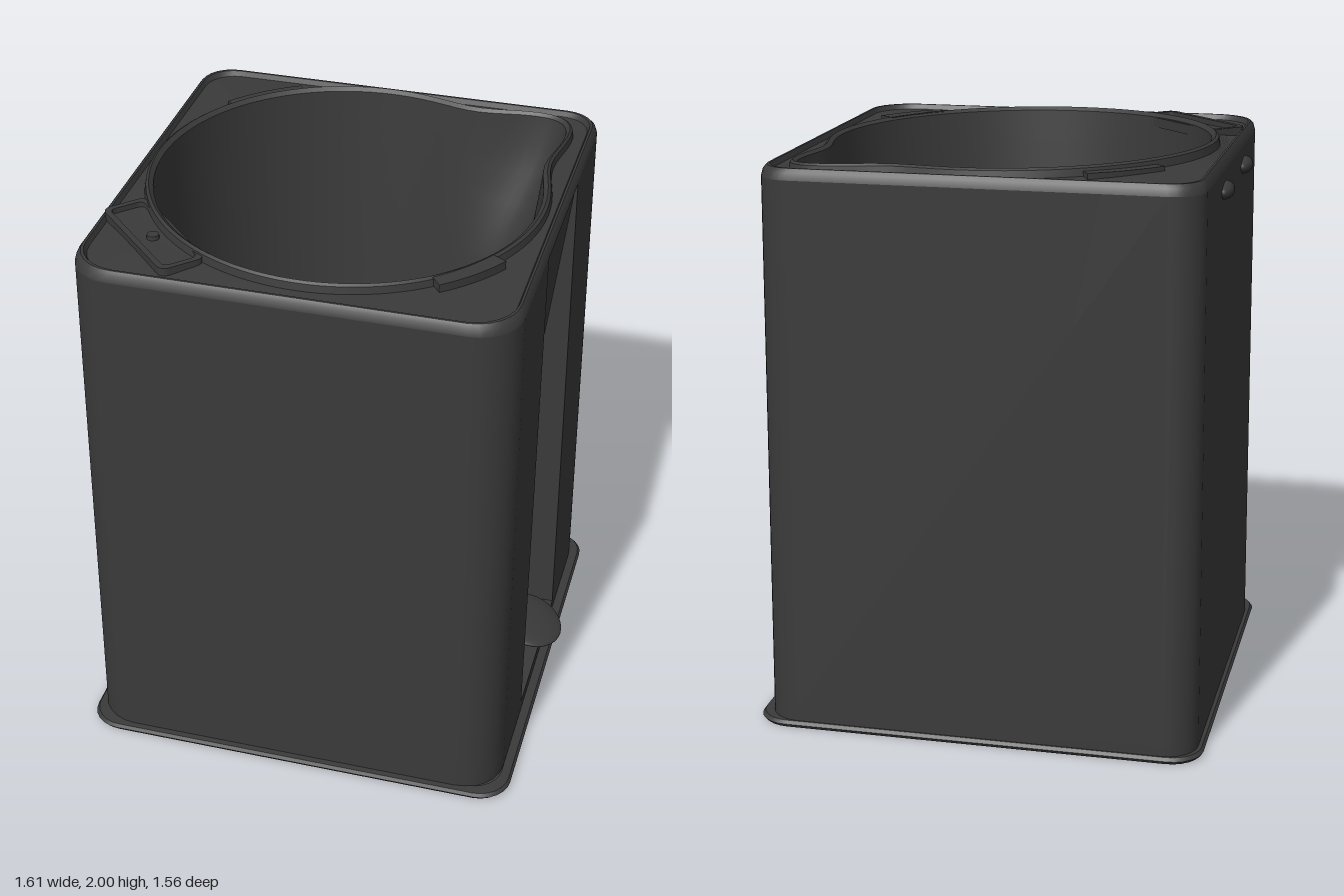
import * as THREE from 'three';
import { toCreasedNormals } from 'three/addons/utils/BufferGeometryUtils.js';

const material = new THREE.MeshStandardMaterial({ color: 0x3a3a3a, side: THREE.DoubleSide });
const CX = -0.03, CZ = -0.02; // centre of the tub mouth
const { lerp, smoothstep } = THREE.MathUtils;

// Rounded rectangle as [x, z] points; front corners use rFront, each side is split into n pieces
function outline(cx, hx, hz, r, rFront = r, n = 1) {
  const corners = [[1, 1, rFront], [-1, 1, rFront], [-1, -1, r], [1, -1, r]];
  const arcPoint = ([sx, sz, cr], a) =>
    [cx + sx * (hx - cr) + cr * Math.cos(a), sz * (hz - cr) + cr * Math.sin(a)];
  const pts = [];
  corners.forEach((corner, k) => {
    for (let i = 0; i <= 6; i++) pts.push(arcPoint(corner, (k + i / 6) * Math.PI / 2));
    const from = pts[pts.length - 1];
    const to = arcPoint(corners[(k + 1) % 4], (k + 1) * Math.PI / 2);
    for (let i = 1; i < n; i++) pts.push([lerp(from[0], to[0], i / n), lerp(from[1], to[1], i / n)]);
  });
  return pts;
}

const ring = (pts, y, dz = 0) => pts.map(([x, z]) => [x, y, z + dz]);

// Skin a stack of closed rings with equal point counts
function loft(rings) {
  const n = rings[0].length, index = [];
  for (let i = 0; i < rings.length - 1; i++) {
    for (let j = 0; j < n; j++) {
      const a = i * n + j, b = i * n + (j + 1) % n;
      index.push(a, a + n, b, b, a + n, b + n);
    }
  }
  const g = new THREE.BufferGeometry();
  g.setAttribute('position', new THREE.Float32BufferAttribute(rings.flat(2), 3));
  g.setIndex(index);
  return toCreasedNormals(g, 0.6);
}

export function createModel() {
  const model = new THREE.Group();
  const add = (name, geometry, x = 0, y = 0, z = 0, parent = model) => {
    const m = new THREE.Mesh(geometry, material);
    m.name = name;
    m.position.set(x, y, z);
    parent.add(m);
    return m;
  };

  // Outer walls, with a wedge-shaped pedal recess on the +x side
  const wall = (y, depth) => {
    const t = y / 1.93;
    const cx = lerp(-0.035, -0.03, t), hx = lerp(0.755, 0.742, t);
    const hz = lerp(0.762, 0.75, t), x = cx + hx;
    const zl = lerp(0.31, 0.23, t), zr = lerp(-0.29, -0.28, t);
    const pts = outline(cx, hx, hz, 0.11, 0.15);
    pts.push([x, zr], [x - depth, zr], [x - depth, zl], [x, zl]);
    return ring(pts, y, lerp(-0.008, -0.002, t));
  };
  add('outerWalls', loft([wall(0.02, 0), wall(0.06, 0), wall(0.06, 0.25), wall(1.93, 0.006), wall(1.93, 0)]));

  // Deck, raised rim, tapering tub with a pouring corner, and tub floor
  const edge = outline(-0.03, 0.742, 0.75, 0.11, 0.15, 24);
  const deck = (inset, y) => ring(edge.map(([x, z]) =>
    [-0.03 + (x + 0.03) * (1 - inset / 0.742), z * (1 - inset / 0.75)]), y, -0.002);
  const tub = (r, y, spout = 0, cx = CX, tilt = 0) => edge.map(([x, z]) => {
    const a = Math.atan2(z - CZ, x - CX);
    const rr = r + spout * Math.exp(-(((a + Math.PI / 4) / 0.23) ** 2));
    const px = cx + rr * Math.cos(a);
    return [px, y - tilt * px, CZ + rr * Math.sin(a)];
  });
  const rings = [deck(0, 1.93), deck(0.006, 1.955), deck(0.016, 1.968), deck(0.024, 1.968), deck(0.032, 1.95),
    tub(0.69, 1.955, 0.21, CX, 0.015), tub(0.685, 1.98, 0.21, CX, 0.018),
    tub(0.675, 1.987, 0.21, CX, 0.018), tub(0.66, 1.975, 0.21, CX, 0.015)];
  for (let i = 1; i <= 16; i++) {
    const t = i / 16;
    rings.push(tub(lerp(0.66, 0.53, t), lerp(1.975, 0.18, t),
      0.21 * (1 - smoothstep(t, 0, 0.4)), lerp(CX, -0.08, t)));
  }
  rings.push(tub(0, 0.18, 0, -0.08));
  add('deckAndTub', loft(rings));

  // Base flange with a dished underside, a centre ring and diagonal ribs
  const base = (s, y) => ring(outline(-0.025, 0.785 * s, 0.782 * s, 0.11 * s), y);
  add('baseFlange', loft([base(0.001, 0.06), base(0.3, 0.055), base(0.9, 0.035), base(0.96, 0.008), base(0.99, 0),
    base(1, 0.012), base(0.99, 0.024), base(0.95, 0.026)]));
  const hub = add('undersideRing', new THREE.TorusGeometry(0.2, 0.01, 8, 40), -0.025, 0.056, 0);
  hub.rotation.x = Math.PI / 2;
  for (let i = 0; i < 4; i++) {
    const a = Math.PI / 4 + i * Math.PI / 2;
    const rib = add('undersideRib', new THREE.BoxGeometry(0.7, 0.012, 0.02),
      -0.025 + 0.55 * Math.cos(a), 0.045, 0.55 * Math.sin(a));
    rib.rotation.set(0, -a, -0.027);
  }

  // Foot pedal, its arm and the slot behind it
  const pedal = add('pedal', new THREE.SphereGeometry(1, 32, 16), 0.68, 0.2, 0);
  pedal.scale.set(0.13, 0.022, 0.14);
  pedal.rotation.z = -0.3;
  const arm = add('pedalArm', new THREE.CylinderGeometry(0.018, 0.018, 0.22, 12), 0.57, 0.205, 0);
  arm.rotation.z = Math.PI / 2;
  const slot = add('pedalSlot', new THREE.BoxGeometry(0.014, 0.32, 0.018), 0.494, 0.24, 0);
  slot.rotation.z = -0.126;

  // Low tray with a pin at the front corner of the deck
  const tray = new THREE.Group();
  tray.name = 'cornerTray';
  tray.position.set(-0.55, 1.945, 0.49);
  tray.rotation.y = -Math.PI / 4;
  model.add(tray);
  const toPath = (hx, hz, r) => outline(0, hx, hz, r).map(([x, z]) => new THREE.Vector2(x, z));
  const frame = new THREE.Shape(toPath(0.225, 0.08, 0.03));
  frame.holes.push(new THREE.Path(toPath(0.205, 0.06, 0.02)));
  const frameMesh = add('trayFrame', new THREE.ExtrudeGeometry(frame,
    { depth: 0.035, bevelEnabled: false }), 0, 0, 0, tray);
  frameMesh.rotation.x = -Math.PI / 2;
  add('trayFloor', new THREE.BoxGeometry(0.42, 0.01, 0.13), 0, 0.011, 0, tray);
  add('trayPin', new THREE.CylinderGeometry(0.02, 0.022, 0.02, 16), 0, 0.02, 0, tray);

  // Small curved pads hugging the rim
  for (const [angle, span] of [[0.72, 0.36], [-2.28, 0.4]]) {
    const s = new THREE.Shape();
    s.absarc(0, 0, 0.73, angle - span / 2, angle + span / 2, false);
    s.absarc(0, 0, 0.67, angle + span / 2, angle - span / 2, true);
    const pad = add('rimPad', new THREE.ExtrudeGeometry(s,
      { depth: 0.04, bevelEnabled: false, curveSegments: 10 }), CX, 1.977, CZ);
    // Shape angles run from +x towards +z once laid flat
    pad.rotation.x = Math.PI / 2;
  }

  // Lid catches on the -x side
  for (const z of [-0.22, 0.28]) {
    const clip = add('sideCatch', new THREE.SphereGeometry(1, 16, 10), -0.772, 1.86, z);
    clip.scale.set(0.033, 0.03, 0.08);
  }
  return model;
}
